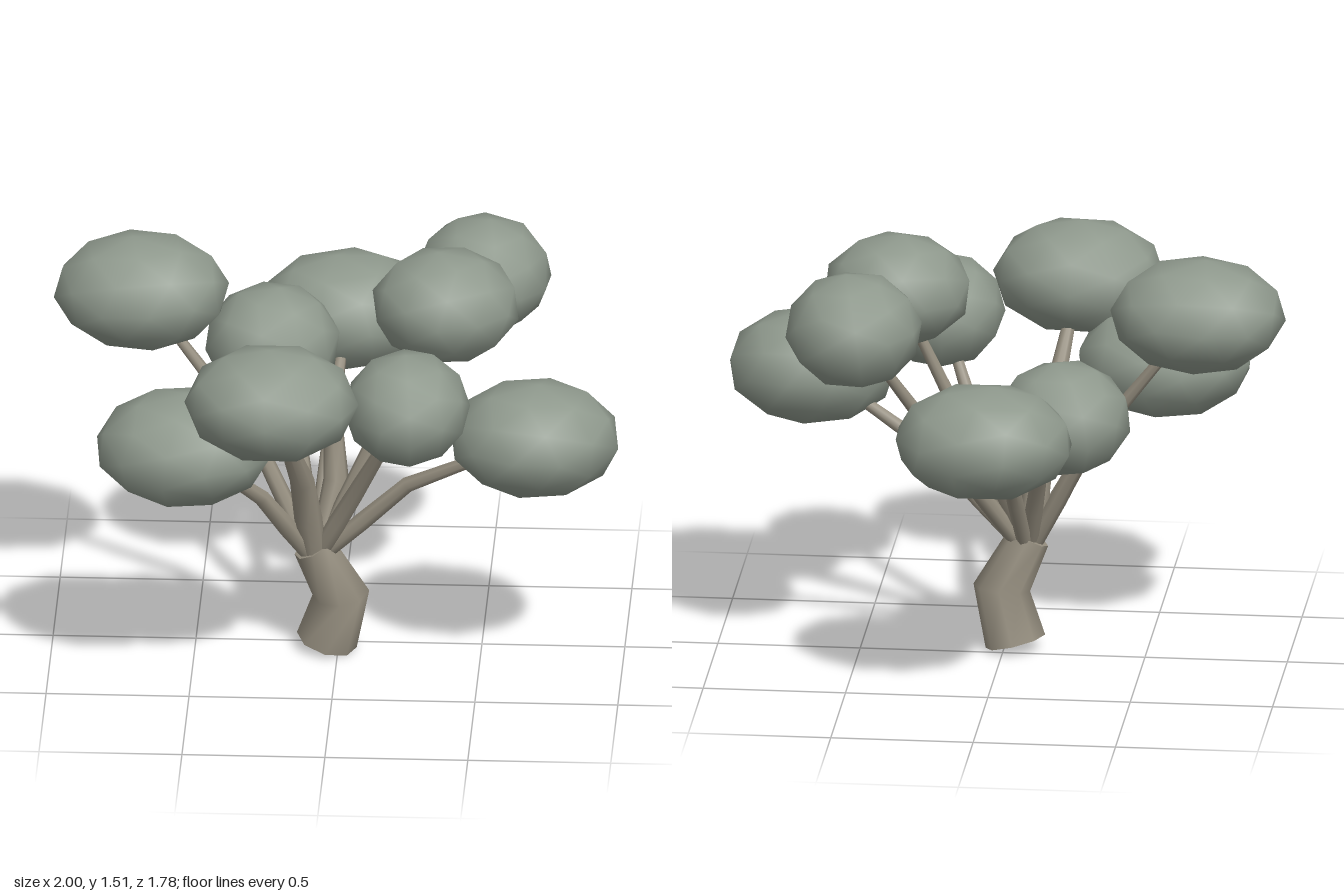
import * as THREE from 'three';
import { mergeVertices, toCreasedNormals } from 'three/addons/utils/BufferGeometryUtils.js';

const bark = new THREE.MeshStandardMaterial({ color: 0x968f80 });
const leaf = new THREE.MeshStandardMaterial({ color: 0x8f998d });

// Tapered limb: a cylinder whose rings follow a list of [x, y, z, radius] stations
function limb(name, stations, sides) {
  const n = stations.length;
  const pts = stations.map(s => new THREE.Vector3(s[0], s[1], s[2]));
  const up = new THREE.Vector3(0, 1, 0);
  const turns = pts.map((p, i) => {
    const t = new THREE.Vector3();
    if (i > 0) t.add(p.clone().sub(pts[i - 1]).normalize());
    if (i < n - 1) t.add(pts[i + 1].clone().sub(p).normalize());
    return new THREE.Quaternion().setFromUnitVectors(up, t.normalize());
  });
  const geo = new THREE.CylinderGeometry(1, 1, 1, sides, n - 1);
  const pos = geo.attributes.position;
  const v = new THREE.Vector3();
  for (let i = 0; i < pos.count; i++) {
    v.fromBufferAttribute(pos, i);
    const row = Math.round((v.y + 0.5) * (n - 1));
    v.setY(0).multiplyScalar(stations[row][3]).applyQuaternion(turns[row]).add(pts[row]);
    pos.setXYZ(i, v.x, v.y, v.z);
  }
  const mesh = new THREE.Mesh(toCreasedNormals(geo, 1.15), bark);
  mesh.name = name;
  return mesh;
}

// Smooth low-poly foliage ball, turned and then fitted to its half-sizes
function foliage(centre, size, turn) {
  let geo = new THREE.IcosahedronGeometry(1, 1);
  geo.deleteAttribute('uv');
  geo.deleteAttribute('normal');
  geo = mergeVertices(geo, 1e-4);
  geo.rotateY(turn).rotateZ(0.12 * Math.sin(turn * 5));
  geo.computeBoundingBox();
  const b = geo.boundingBox.max;
  geo.scale(size[0] / b.x, size[1] / b.y, size[2] / b.z);
  geo.computeVertexNormals();
  const mesh = new THREE.Mesh(geo, leaf);
  mesh.position.set(...centre);
  mesh.name = 'foliage';
  return mesh;
}

export function createModel() {
  const tree = new THREE.Group();
  tree.name = 'tree';

  // Crooked trunk
  tree.add(limb('trunk', [
    [-0.04, 0.03, 0.05, 0.108],
    [0.01, 0.22, 0.07, 0.1],
    [-0.085, 0.405, 0.09, 0.074],
  ], 8));

  // Bare cut stub
  tree.add(limb('stub', [
    [-0.07, 0.38, 0.09, 0.03],
    [-0.01, 0.62, 0.0, 0.046],
    [-0.02, 0.78, -0.03, 0.036],
  ], 7));

  // Each crown: foliage centre, half-sizes, branch elbow, elbow radius
  const wide = [0.305, 0.203, 0.253], round = [0.235, 0.203, 0.235];
  const crowns = [
    [[0, 0.99, -0.64], wide, [-0.03, 0.8, -0.22], 0.026],
    [[-0.25, 0.99, -0.35], round, [-0.14, 0.7, -0.09], 0.028],
    [[-0.695, 1.295, -0.08], wide, [-0.3, 0.78, -0.01], 0.028],
    [[-0.52, 0.945, 0.475], wide, [-0.26, 0.66, 0.25], 0.029],
    [[-0.205, 1.19, 0.635], wide, [-0.12, 0.7, 0.2], 0.044],
    [[0.26, 1.105, 0.46], [0.22, 0.2, 0.23], [0.08, 0.68, 0.2], 0.03],
    [[0.7, 0.935, 0.315], [0.295, 0.204, 0.248], [0.25, 0.68, 0.16], 0.028],
    [[0.375, 1.315, 0.04], [0.256, 0.2, 0.237], [0.12, 0.78, 0.045], 0.028],
    [[0.49, 1.28, -0.32], round, [0.17, 0.75, -0.1], 0.028],
  ];
  crowns.forEach(([centre, size, elbow, r], i) => {
    // Branches fan out from just inside the trunk top
    const root = [-0.08 + (elbow[0] + 0.08) * 0.12, 0.39, 0.09 + (elbow[2] - 0.09) * 0.12];
    const mid = root.map((c, k) => c + (elbow[k] - c) * 0.45);
    tree.add(limb('branch', [
      [...root, r * 1.05], [...mid, r * 1.15], [...elbow, r], [...centre, 0.015],
    ], 7));
    tree.add(foliage(centre, size, 0.3 + i * 0.7));
  });
  return tree;
}
